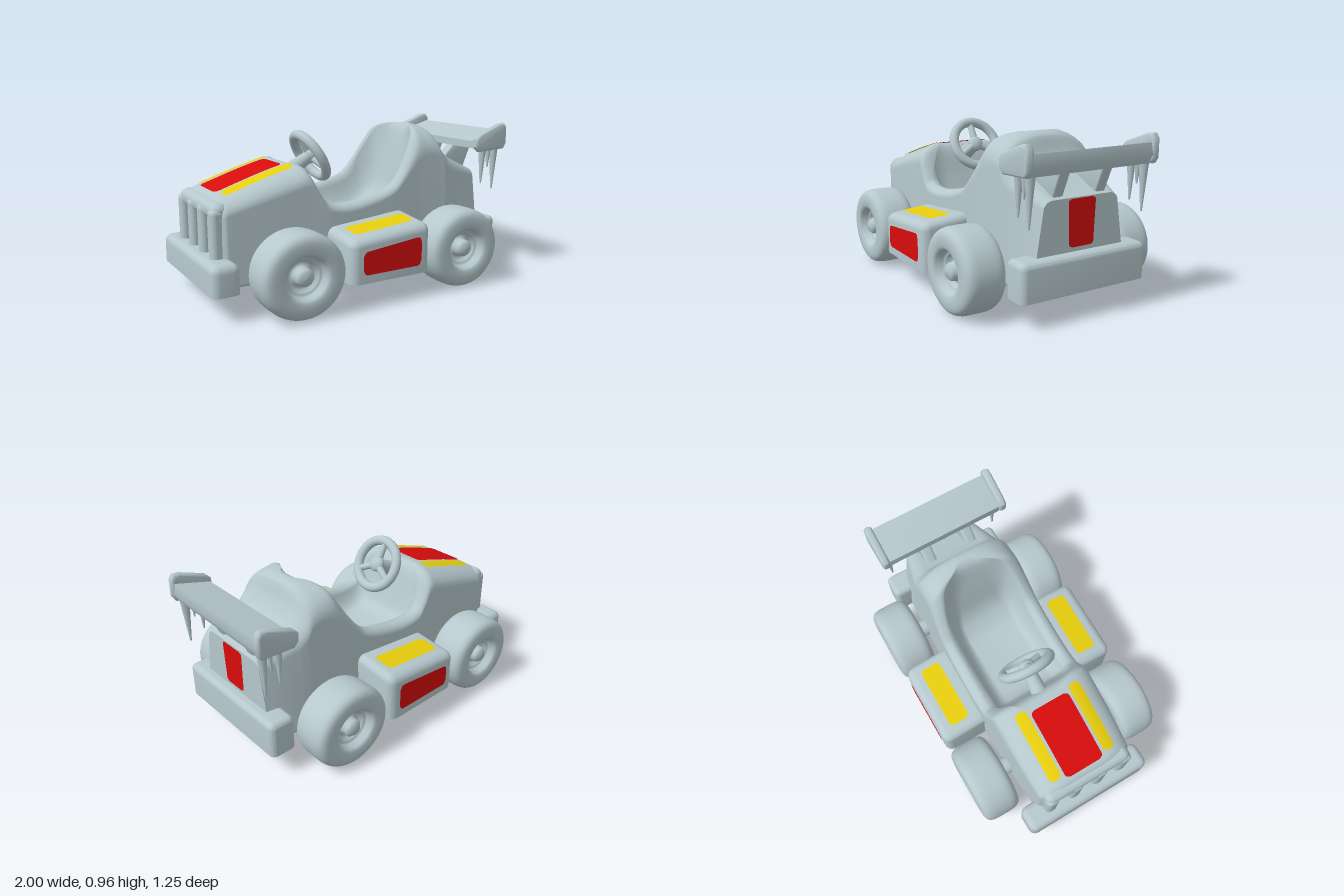
import * as THREE from 'three';
import { toCreasedNormals } from 'three/addons/utils/BufferGeometryUtils.js';
import { RoundedBoxGeometry } from 'three/addons/geometries/RoundedBoxGeometry.js';

const FLOOR = 0.15;
// body stations: x, rim height, shoulder height, shoulder width, inner (seat) height
const STATIONS = [
  [-0.91, 0.58, 0.06, 0.13, 0.58],
  [-0.89, 0.625, 0.09, 0.16, 0.625],
  [-0.85, 0.65, 0.10, 0.18, 0.65],
  [-0.43, 0.775, 0.12, 0.18, 0.775],
  [-0.36, 0.76, 0.10, 0.13, 0.74],
  [-0.30, 0.64, 0.07, 0.08, 0.57],
  [-0.25, 0.565, 0.05, 0.06, 0.46],
  [-0.12, 0.545, 0.05, 0.06, 0.41],
  [0.05, 0.57, 0.05, 0.06, 0.40],
  [0.20, 0.62, 0.05, 0.06, 0.41],
  [0.28, 0.71, 0.07, 0.07, 0.45],
  [0.36, 0.84, 0.12, 0.09, 0.55],
  [0.41, 0.92, 0.16, 0.12, 0.74],
  [0.47, 0.95, 0.17, 0.22, 0.93],
  [0.56, 0.935, 0.17, 0.27, 0.935],
  [0.60, 0.84, 0.13, 0.18, 0.84],
  [0.66, 0.76, 0.10, 0.10, 0.76],
  [0.888, 0.65, 0.05, 0.06, 0.65],
];

// half widths: narrower towards both ends, rounded at the nose, tapering upwards
const baseWidth = x => 0.34 - 0.04 * Math.abs(x) ** 3 - Math.max(0, -0.87 - x);
const topWidth = (x, h) => baseWidth(x) - 0.06 * (h - 0.5) - 0.2 * Math.max(0, x - 0.6);

// smooth rows between the stations
function smoothStations(steps) {
  const rows = [], last = STATIONS.length - 1;
  const at = i => STATIONS[Math.min(last, Math.max(0, i))];
  for (let i = 0; i < last; i++) for (let s = 0; s < steps; s++) {
    const t = s / steps, [p, b, c, q] = [at(i - 1), at(i), at(i + 1), at(i + 2)];
    rows.push(b.map((v, k) => {
      // tangents scaled to the spacing of the stations
      const gap = c[0] - b[0];
      const m0 = (c[k] - p[k]) / (c[0] - p[0]) * gap, m1 = (q[k] - v) / (q[0] - b[0]) * gap;
      const d = c[k] - v;
      return v + t * (m0 + t * (3 * d - 2 * m0 - m1 + t * (m0 + m1 - 2 * d)));
    }));
  }
  rows.push(STATIONS[last]);
  return rows;
}
const ROWS = smoothStations(5);

// cross-section ring of [z, y], mirrored about the middle
function section([x, h, sh, sw, f]) {
  const w = baseWidth(x), wt = topWidth(x, h), wi = Math.min(0.25, wt - sw);
  const half = [[w - 0.02, FLOOR], [w - 0.005, FLOOR + 0.006], [w, FLOOR + 0.025]];
  for (let k = 0; k <= 8; k++) {
    const a = k / 8 * Math.PI / 2;
    half.push([wt - sw + sw * Math.cos(a), h - sh + sh * Math.sin(a)]);
  }
  // inner wall curving down to the seat
  for (let k = 1; k <= 6; k++) {
    const t = k / 6;
    half.push([Math.max(0.01, wi - Math.min(0.1, wi * 0.8) * t * t), h + (f - h) * t * t * (3 - 2 * t)]);
  }
  return [[0, FLOOR], ...half, [0, f], ...half.map(([z, y]) => [-z, y]).reverse()];
}

function bodyGeometry() {
  const pos = [], idx = [], rings = ROWS.map(section), n = rings[0].length;
  rings.forEach((ring, i) => ring.forEach(([z, y]) => pos.push(ROWS[i][0], y, z)));
  for (let i = 0; i < rings.length - 1; i++) for (let j = 0; j < n; j++) {
    const a = i * n + j, b = i * n + (j + 1) % n;
    idx.push(a, a + n, b, b, a + n, b + n);
  }
  for (const i of [0, rings.length - 1]) { // nose and tail faces
    const c = pos.length / 3;
    pos.push(ROWS[i][0], 0.4, 0);
    rings[i].forEach(([z, y]) => pos.push(ROWS[i][0], y, z));
    for (let j = 0; j < n; j++) {
      const p = c + 1 + j, q = c + 1 + (j + 1) % n;
      idx.push(c, i ? q : p, i ? p : q);
    }
  }
  const g = new THREE.BufferGeometry();
  g.setAttribute('position', new THREE.Float32BufferAttribute(pos, 3));
  g.setIndex(idx);
  g.computeVertexNormals();
  return g;
}

// height of the hood surface
function hoodHeight(x, z) {
  const i = Math.max(1, ROWS.findIndex(r => r[0] >= x)), a = ROWS[i - 1], b = ROWS[i];
  const t = (x - a[0]) / (b[0] - a[0]);
  const [, h, sh, sw] = a.map((v, k) => v + (b[k] - v) * t);
  const u = Math.max(0, (Math.abs(z) - topWidth(x, h) + sw) / sw);
  return h - sh * (1 - Math.sqrt(1 - u * u));
}

// rounded rectangle a0..a1 by b0..b1, laid on a surface by place(a, b)
function patch(a0, a1, b0, b1, place, r = 0.025) {
  const g = new THREE.PlaneGeometry(1, 1, 40, 6), p = g.attributes.position;
  for (let i = 0; i < p.count; i++) {
    const a = a0 + (p.getX(i) + 0.5) * (a1 - a0);
    const d = Math.max(0, r - Math.min(a - a0, a1 - a));
    const inset = r - Math.sqrt(Math.max(0, r * r - d * d));
    const b = (b0 + b1) / 2 + p.getY(i) * (b1 - b0 - 2 * inset);
    p.setXYZ(i, ...place(a, b));
  }
  g.computeVertexNormals();
  return g;
}

// bevelled slab from an outline in x and y, centred on z = 0
function slab(points, width, bevel) {
  const shape = new THREE.Shape(points.map(p => new THREE.Vector2(...p)));
  const g = new THREE.ExtrudeGeometry(shape, {
    depth: width - 2 * bevel, bevelEnabled: true, bevelSize: bevel, bevelThickness: bevel,
    bevelOffset: -bevel, bevelSegments: 5,
  });
  return toCreasedNormals(g.translate(0, 0, bevel - width / 2), 0.7);
}

function rod(from, to, r0, r1, sides = 16) {
  const a = new THREE.Vector3(...from), b = new THREE.Vector3(...to), d = b.clone().sub(a);
  const g = new THREE.CylinderGeometry(r1, r0, d.length(), sides);
  g.applyQuaternion(new THREE.Quaternion().setFromUnitVectors(new THREE.Vector3(0, 1, 0), d.normalize()));
  return g.translate(...a.add(b).multiplyScalar(0.5).toArray());
}

// rounded box, centred on z = 0
function box(x0, x1, y0, y1, width, r) {
  return new RoundedBoxGeometry(x1 - x0, y1 - y0, width, 4, r).translate((x0 + x1) / 2, (y0 + y1) / 2, 0);
}

// rounded box with a flat base at floor height; lift(x, y, z) moves each height
function floorBox(x0, x1, y1, z0, z1, r, lift = (x, y) => y) {
  const g = box(x0, x1, FLOOR - r, y1, z1 - z0, r).translate(0, 0, (z0 + z1) / 2), p = g.attributes.position;
  for (let i = 0; i < p.count; i++) p.setY(i, lift(p.getX(i), Math.max(FLOOR, p.getY(i)), p.getZ(i)));
  return toCreasedNormals(g, 0.7);
}

export function createModel() {
  const kart = new THREE.Group();
  kart.name = 'kart';
  const grey = new THREE.MeshStandardMaterial({ color: 0xb6c8cd });
  const red = new THREE.MeshStandardMaterial({ color: 0xd80c0c, side: THREE.DoubleSide });
  const yellow = new THREE.MeshStandardMaterial({ color: 0xeed40f, side: THREE.DoubleSide });
  grey.name = 'plain grey'; red.name = 'red paint'; yellow.name = 'yellow paint';
  const add = (name, geometry, material = grey, parent = kart) => {
    const m = new THREE.Mesh(geometry, material);
    m.name = name;
    parent.add(m);
    return m;
  };

  // body, nose and bumpers
  add('body', bodyGeometry());
  add('noseLip', box(-0.935, -0.835, 0.52, 0.62, 0.57, 0.045));
  for (let k = 0; k < 4; k++)
    add('grilleBar', box(-0.945, -0.86, 0.2, 0.59, 0.08, 0.03)).position.z = (k - 1.5) * 0.165;
  add('frontBumper', floorBox(-1, -0.835, 0.32, -0.42, 0.42, 0.045));
  add('rearBumper', floorBox(0.79, 0.95, 0.36, -0.41, 0.41, 0.035));

  // hood and tail paint
  const onHood = (x, z) => [x, hoodHeight(x, z) + 0.006, z];
  add('hoodPanel', patch(-0.86, -0.45, -0.125, 0.125, onHood), red);
  for (const s of [-1, 1])
    add('hoodStripe', patch(-0.84, -0.42, s * 0.18 - 0.037, s * 0.18 + 0.037, onHood), yellow);
  const onTail = (y, z) => [0.893, y, z * (1 + (y - 0.385) * 0.5)];
  add('tailPanel', patch(0.385, 0.645, -0.08, 0.08, onTail, 0.02), red);

  // side pods, tops rising rearwards and falling slightly outwards
  const lift = (x, y, z) => y + (y - FLOOR) / 0.3 * (x * 0.09 - (z - 0.3) * 0.1);
  const podGeometry = floorBox(-0.27, 0.265, 0.45, 0.25, 0.61, 0.05, lift);
  const podPaint = patch(-0.2, 0.2, 0.4, 0.53, (x, z) => [x, lift(x, 0.45, z) + 0.006, z]);
  const podSide = patch(-0.2, 0.195, 0.2, 0.353, (x, y) => [x, y + (y - 0.2) * x * 0.67, 0.614], 0.03);
  for (const s of [1, -1]) {
    const side = new THREE.Group();
    side.name = s > 0 ? 'leftPod' : 'rightPod';
    side.scale.z = s;
    add('pod', podGeometry, grey, side);
    add('podTopPaint', podPaint, yellow, side);
    add('podSidePaint', podSide, red, side);
    kart.add(side);
  }

  // wheels with dished hubs, slightly flattened, and axles
  const tyre = [new THREE.Vector2(0, -0.09), new THREE.Vector2(0.11, -0.09)];
  for (let k = 0; k <= 24; k++) { // rounded tread and walls
    const a = (k / 24 - 0.5) * Math.PI, c = Math.cos(a), s = Math.sin(a);
    tyre.push(new THREE.Vector2(0.14 + 0.103 * Math.sqrt(c), 0.123 * Math.sign(s) * Math.sqrt(Math.abs(s))));
  }
  for (const q of [[0.122, 0.11], [0.112, 0.075], [0.1, 0.068], [0.088, 0.068], [0.08, 0.045], [0.054, 0.045],
    [0.05, 0.09], [0.035, 0.108], [0, 0.112]]) tyre.push(new THREE.Vector2(...q));
  const wheel = new THREE.LatheGeometry(tyre, 48).rotateX(Math.PI / 2).scale(1.045, 0.995, 1);
  for (const x of [-0.55, 0.537]) {
    add('axle', rod([x, 0.25, -0.42], [x, 0.25, 0.42], 0.055, 0.055, 24));
    for (const s of [1, -1]) {
      const m = add('wheel', wheel);
      m.position.set(x, 0.243, s * 0.5);
      m.rotation.y = s > 0 ? 0 : Math.PI;
    }
  }

  // steering wheel, tilted towards the driver
  const steering = new THREE.Group();
  steering.name = 'steeringWheel';
  add('rim', new THREE.TorusGeometry(0.15, 0.03, 14, 40), grey, steering);
  add('hub', new THREE.SphereGeometry(0.05, 20, 14).scale(1, 1, 0.7), grey, steering);
  for (let k = 0; k < 3; k++) {
    const a = Math.PI / 2 + k * Math.PI * 2 / 3;
    add('spoke', rod([0, 0, 0], [Math.cos(a) * 0.15, Math.sin(a) * 0.15, 0], 0.024, 0.018), grey, steering);
  }
  add('column', rod([0, 0, -0.22], [0, 0, 0], 0.055, 0.035), grey, steering);
  steering.position.set(-0.2, 0.79, 0);
  steering.lookAt(0.67, 1.29, 0);
  kart.add(steering);

  // rear wing with end plates, struts and hanging icicles
  const blade = [[0.765, 0.81], [0.97, 0.80], [0.995, 0.85], [0.985, 0.915], [0.93, 0.9], [0.765, 0.855]];
  add('wingBlade', slab(blade, 0.82, 0.012));
  const plate = [[0.75, 0.82], [0.78, 0.79], [0.98, 0.80], [1, 0.83], [1, 0.935], [0.98, 0.963],
    [0.94, 0.96], [0.78, 0.9], [0.75, 0.87]];
  const plateGeometry = slab(plate, 0.05, 0.018);
  const strutGeometry = slab([[0.69, 0.73], [0.86, 0.64], [0.94, 0.83], [0.79, 0.83]], 0.07, 0.015);
  for (const s of [1, -1]) {
    add('endPlate', plateGeometry).position.z = s * 0.405;
    add('wingStrut', strutGeometry).position.z = s * 0.14;
    for (const [x, tip, r] of [[0.945, 0.535, 0.03], [0.85, 0.58, 0.028], [0.9, 0.68, 0.022]])
      add('icicle', rod([x, 0.83, s * 0.37], [x - 0.005, tip, s * 0.37], r, 0.005, 12));
  }
  return kart;
}
